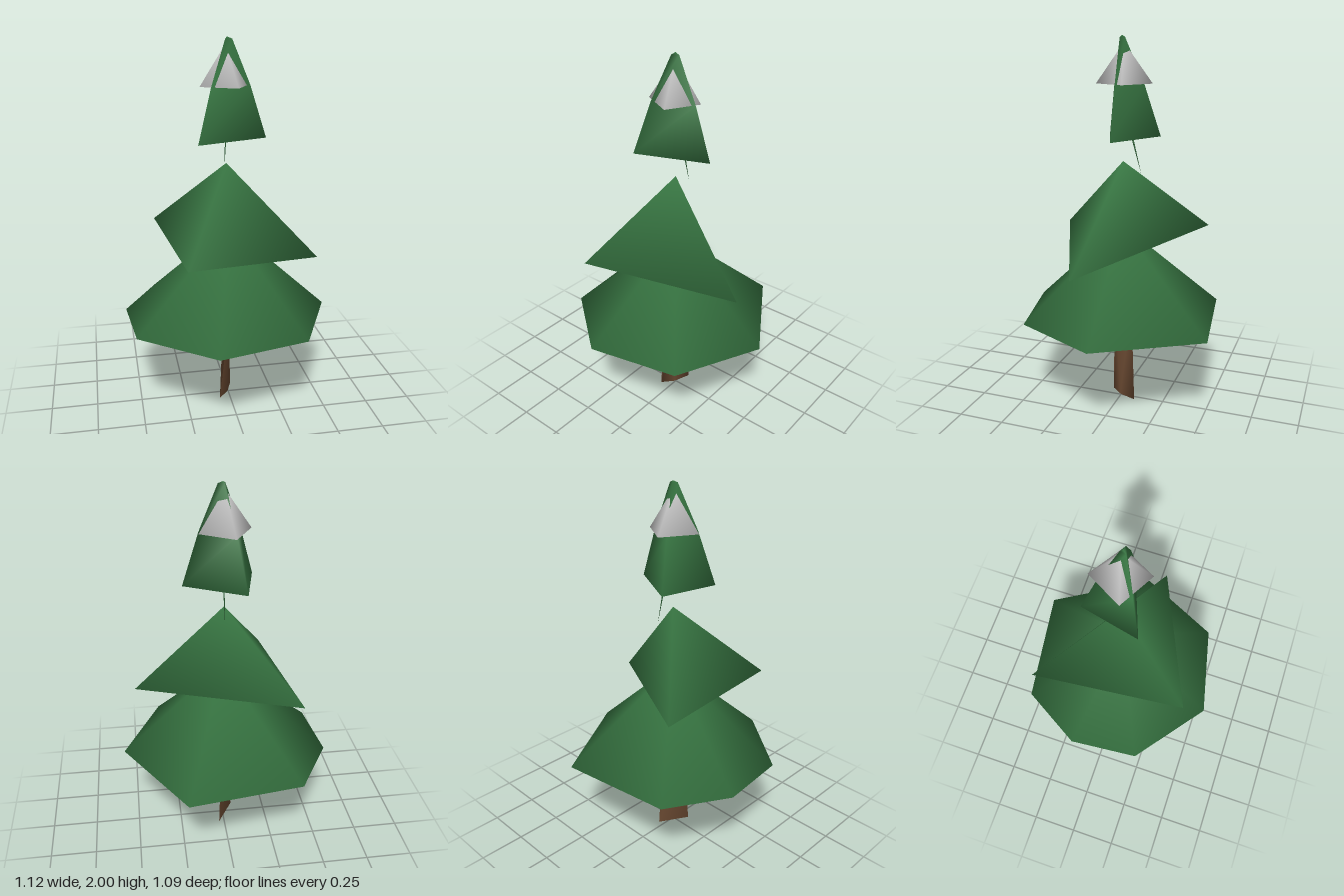
import * as THREE from 'three';

const material = (color) => new THREE.MeshStandardMaterial({ color, roughness: 0.9, side: THREE.DoubleSide });

// Closed shell lofted through rings of [x, y, z] points (bottom to top),
// capped by a fan to a bottom point and a fan to a top point. Shared corners give smooth normals.
function shell(name, rings, bottom, top, mat) {
  const n = rings[0].length;
  const points = [...rings.flat(), bottom, top];
  const iBottom = rings.length * n, iTop = iBottom + 1;
  const index = [];
  for (let i = 0; i < n; i++) {
    const j = (i + 1) % n;
    for (let r = 0; r < rings.length - 1; r++) {
      const a = r * n + i, b = r * n + j;
      index.push(a, a + n, b, b, a + n, b + n);
    }
    const last = (rings.length - 1) * n;
    index.push(last + i, iTop, last + j);
    index.push(i, j, iBottom);
  }
  const geometry = new THREE.BufferGeometry();
  geometry.setAttribute('position', new THREE.Float32BufferAttribute(points.flat(), 3));
  geometry.setIndex(index);
  geometry.computeVertexNormals();
  const mesh = new THREE.Mesh(geometry, mat);
  mesh.name = name;
  return mesh;
}

// Scale an outline [x, z] around the trunk axis and lift it to height y
const ring = (outline, y, s = 1) => outline.map(([x, z]) => [x * s, y, z * s]);

export function createModel() {
  const tree = new THREE.Group();
  tree.name = 'snowyTree';
  const green = material(0x3a7a45);
  const brown = material(0x6b4a32);
  const white = material(0xf2f2f2);

  // Trunk: thin, tapering three-sided blade
  const trunkFoot = [[0.03, -0.09], [-0.005, 0.005], [-0.06, 0.065]];
  const trunkHead = [[0.01, -0.065], [0.01, 0.03], [-0.035, 0.05]];
  tree.add(shell('trunk', [ring(trunkFoot, 0), ring(trunkHead, 0.56)],
    [-0.012, 0, -0.007], [-0.005, 0.58, 0], brown));

  // Lower foliage: wide seven-sided cone
  const lower = [[0.24, -0.545], [0.555, -0.02], [0.34, 0.43], [-0.14, 0.54],
    [-0.525, 0.24], [-0.56, -0.135], [-0.37, -0.46]];
  tree.add(shell('lowerFoliage', [ring(lower, 0.51)], [0, 0.54, 0], [0, 1.02, 0], green));

  // Middle foliage: tilted three-sided cone
  const middle = [[-0.365, 0.955, -0.4], [0.475, 0.84, 0.1], [-0.275, 0.935, 0.42]];
  tree.add(shell('middleFoliage', [middle], [-0.03, 0.93, 0.02], [-0.008, 1.36, -0.01], green));

  // Upper foliage: steep three-sided cone with a blunt tip
  const upper = [[-0.105, -0.185], [0.205, -0.015], [-0.175, 0.125]];
  tree.add(shell('upperFoliage',
    [ring(upper, 1.485), ring(upper, 1.76, 0.57), ring(upper, 1.99, 0.1)],
    [-0.02, 1.5, -0.02], [-0.005, 2, -0.005], green));

  // Thin sliver hanging under the upper foliage
  const sliver = [[-0.004, 1.49, -0.066], [0.004, 1.49, -0.066], [0, 1.49, -0.056]];
  tree.add(shell('hangingSliver', [sliver], [0, 1.3, -0.112], [0, 1.5, -0.06], green));

  // Snow cap: small four-sided pyramid
  const cap = [[-0.05, -0.155], [0.12, -0.045], [0.03, 0.125], [-0.15, 0.025]];
  tree.add(shell('snowCap', [ring(cap, 1.76)], [-0.012, 1.775, -0.012], [-0.012, 1.965, -0.012], white));

  return tree;
}
